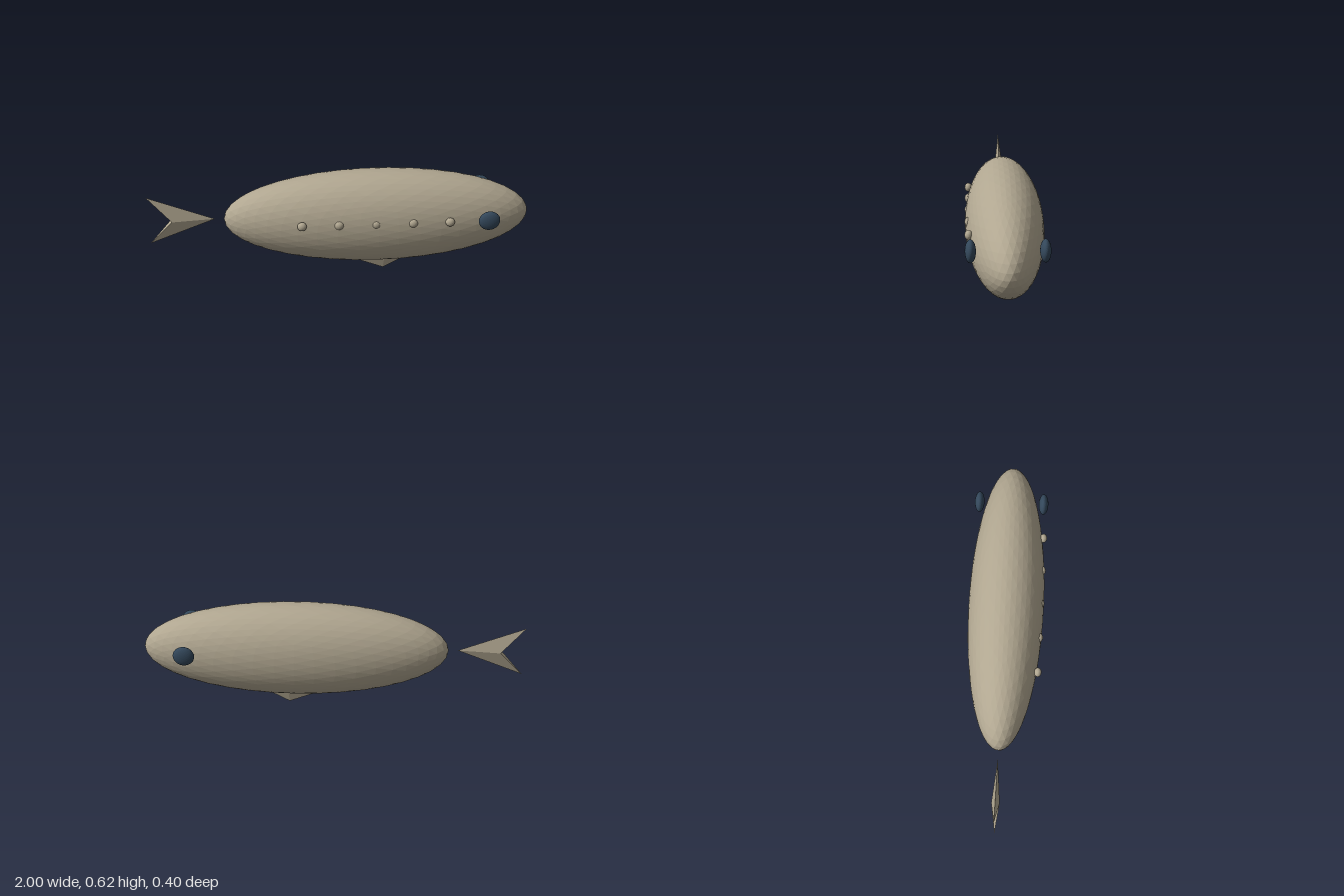
import * as THREE from 'three';

const skin = new THREE.MeshStandardMaterial({ color: 0xb0a690 });
skin.name = 'skin';
const eyeBlue = new THREE.MeshStandardMaterial({ color: 0x33475a });
eyeBlue.name = 'eyeBlue';

// Faceted ellipsoid with the given radii and centre
function ellipsoid(name, material, radii, centre, detail) {
  const geometry = new THREE.IcosahedronGeometry(1, detail);
  geometry.scale(...radii);
  geometry.computeVertexNormals(); // unshared corners give flat facets
  const mesh = new THREE.Mesh(geometry, material);
  mesh.name = name;
  mesh.position.set(...centre);
  return mesh;
}

// Fin: a point, two tips in the middle plane and a thick spot between the tips.
// Seen from +z, point, tipB, tipA run counter-clockwise.
function fin(name, point, tipA, tipB, middle, halfThickness) {
  const at = ([x, y], z = 0) => [x, y, z];
  const p = at(point), a = at(tipA), b = at(tipB);
  const front = at(middle, halfThickness), back = at(middle, -halfThickness);
  const faces = [
    p, front, a, p, b, front, // front side
    p, a, back, p, back, b, // back side
    a, front, back, b, back, front, // between the tips
  ];
  const geometry = new THREE.BufferGeometry();
  geometry.setAttribute('position', new THREE.Float32BufferAttribute(faces.flat(), 3));
  geometry.computeVertexNormals();
  const mesh = new THREE.Mesh(geometry, skin);
  mesh.name = name;
  return mesh;
}

export function createModel() {
  const model = new THREE.Group();
  model.name = 'fish';

  model.add(ellipsoid('body', skin, [0.802, 0.262, 0.2], [0.198, 0.354, 0], 7));

  // Eyes on both sides
  for (const side of [1, -1]) {
    const name = side > 0 ? 'frontEye' : 'backEye';
    model.add(ellipsoid(name, eyeBlue, [0.055, 0.055, 0.026], [0.767, 0.411, side * 0.174], 5));
  }

  // Row of studs along the front side only
  for (let i = 0; i < 5; i++) {
    model.add(ellipsoid('stud' + (i + 1), skin, [0.024, 0.024, 0.019], [-0.198 + i * 0.19, 0.416, 0.182], 3));
  }

  model.add(fin('tailFin', [-0.652, 0.355], [-1, 0.21], [-1, 0.5], [-0.875, 0.355], 0.021));
  model.add(fin('bellyFin', [0.24, 0], [-0.05, 0.12], [0.444, 0.12], [0.25, 0.12], 0.023));

  return model;
}
